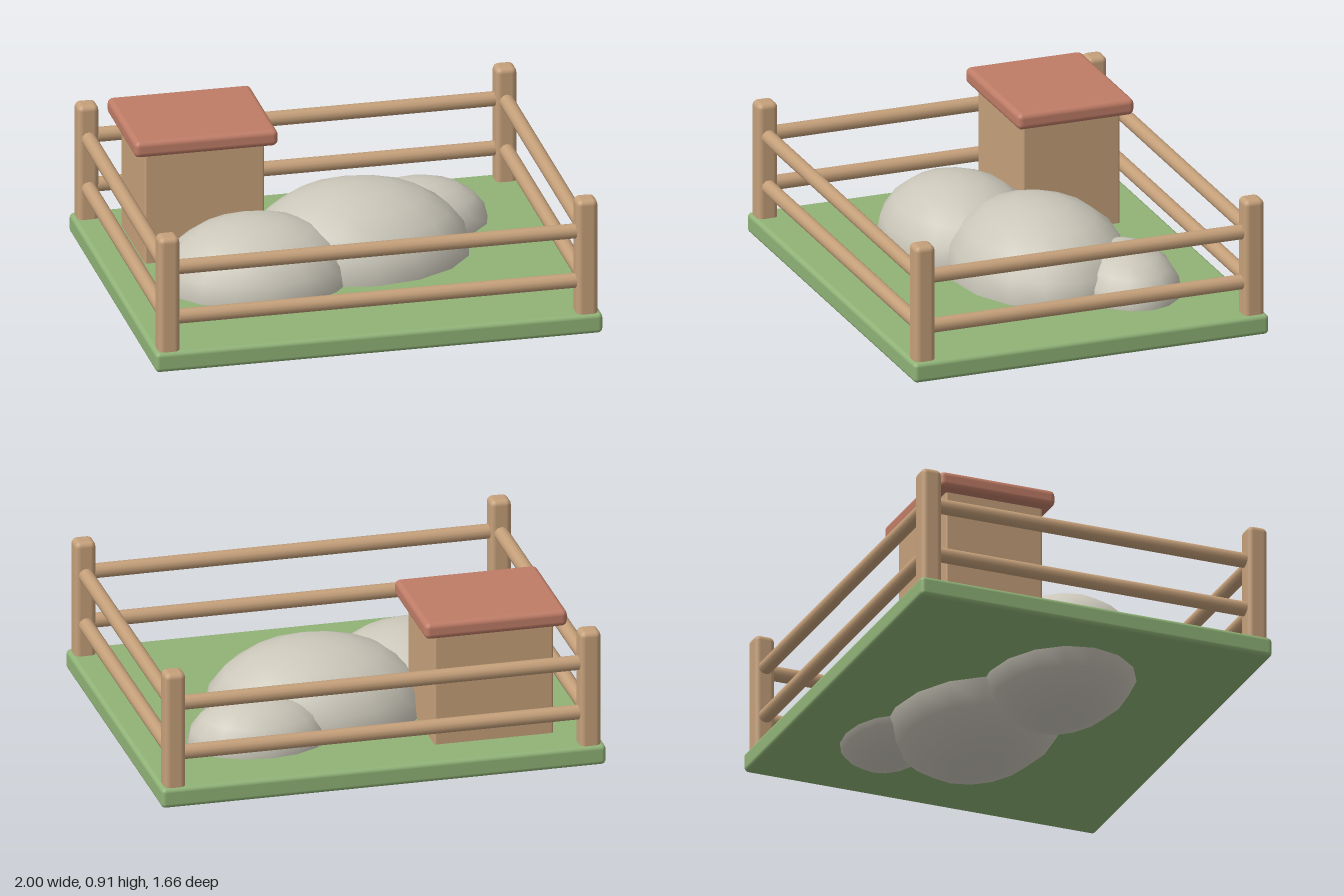
import * as THREE from 'three';
import { RoundedBoxGeometry } from 'three/addons/geometries/RoundedBoxGeometry.js';

const material = (name, color) => {
  const m = new THREE.MeshStandardMaterial({ color });
  m.name = name;
  return m;
};

export function createModel() {
  const grass = material('grass green', 0x90b377);
  const wood = material('tan wood', 0xc5a07a);
  const clay = material('clay red', 0xbf7c66);
  const stone = material('pale stone', 0xcbc7ba);

  const model = new THREE.Group();
  model.name = 'fencedPen';

  const add = (parent, name, geometry, mat, x, y, z) => {
    const mesh = new THREE.Mesh(geometry, mat);
    mesh.name = name;
    mesh.position.set(x, y, z);
    parent.add(mesh);
    return mesh;
  };
  const group = (name) => {
    const g = new THREE.Group();
    g.name = name;
    model.add(g);
    return g;
  };
  const rounded = (w, h, d, r) => new RoundedBoxGeometry(w, h, d, 3, r);

  // Ground slab
  add(model, 'ground', rounded(2, 0.092, 1.66, 0.02), grass, 0, 0.281, 0);

  // Fence: four corner posts, two rails on every side
  const fence = group('fence');
  const px = 0.935, pz = 0.77;
  const postGeo = rounded(0.094, 0.56, 0.094, 0.025);
  const longRail = new THREE.CylinderGeometry(0.033, 0.033, px * 2, 12).rotateZ(Math.PI / 2);
  const sideRail = new THREE.CylinderGeometry(0.033, 0.033, pz * 2, 12).rotateX(Math.PI / 2);
  for (const s of [-1, 1]) {
    for (const t of [-1, 1]) add(fence, 'post', postGeo, wood, s * px, 0.58, t * pz);
    for (const y of [0.472, 0.705]) {
      add(fence, s > 0 ? 'frontRail' : 'backRail', longRail, wood, 0, y, s * pz);
      add(fence, s > 0 ? 'leftRail' : 'rightRail', sideRail, wood, s * px, y, 0);
    }
  }

  // Hut with a flat overhanging roof
  const hut = group('hut');
  add(hut, 'hutWalls', rounded(0.535, 0.55, 0.455, 0.01), wood, -0.545, 0.585, -0.407);
  add(hut, 'hutRoof', rounded(0.642, 0.076, 0.545, 0.025), clay, -0.545, 0.879, -0.41);

  // Boulders: flattened spheres sunk through the ground
  const rocks = group('rocks');
  const rockGeo = new THREE.SphereGeometry(1, 16, 10);
  for (const [name, x, y, z, rx, ry, rz] of [
    ['largeRock', 0.12, 0.328, -0.1, 0.5, 0.325, 0.4],
    ['mediumRock', -0.38, 0.33, 0.08, 0.43, 0.28, 0.35],
    ['smallRock', 0.45, 0.327, -0.37, 0.315, 0.203, 0.235],
  ]) add(rocks, name, rockGeo, stone, x, y, z).scale.set(rx, ry, rz);

  return model;
}
